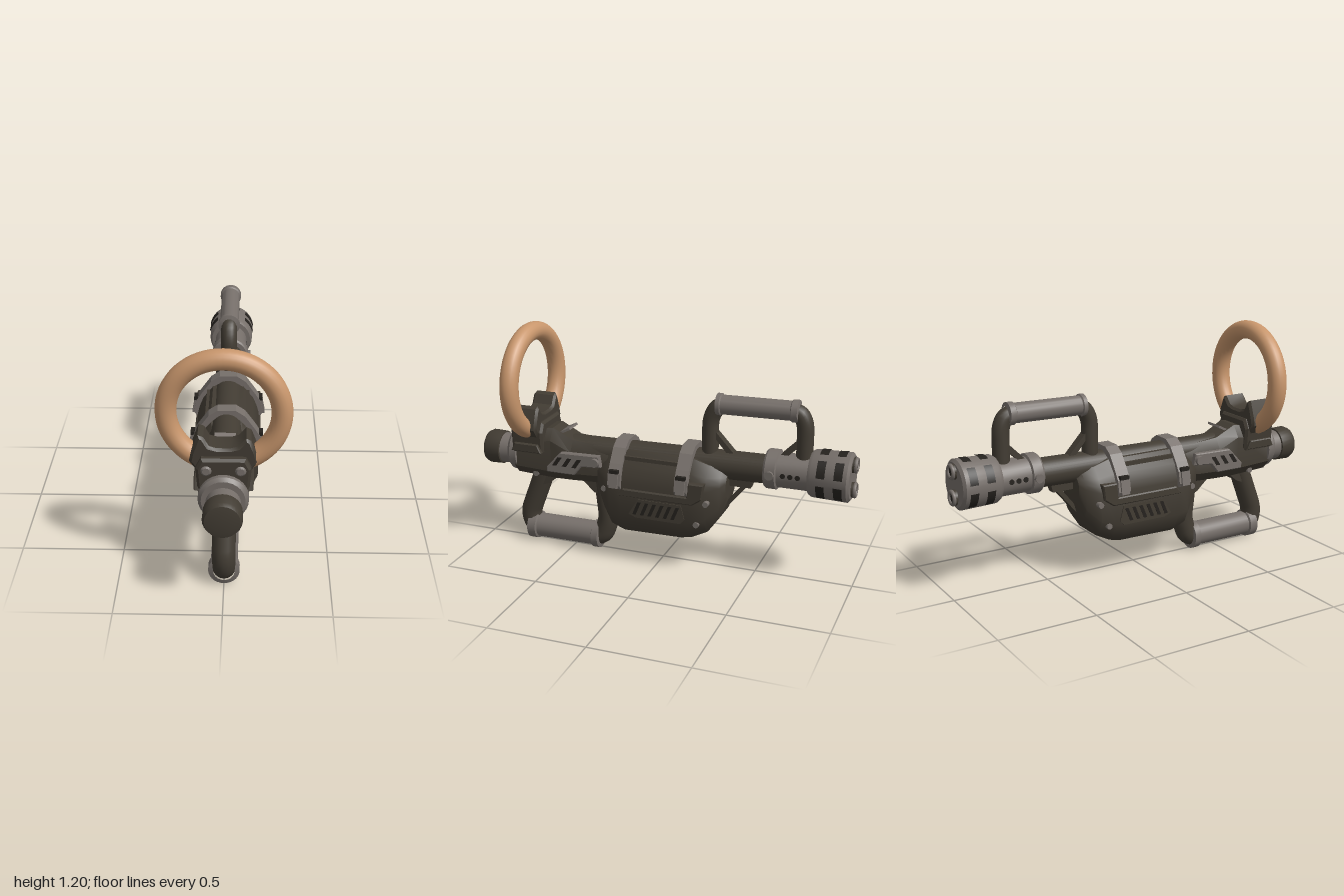
import * as THREE from 'three';
import { toCreasedNormals } from 'three/addons/utils/BufferGeometryUtils.js';

const paint = (name, color) => {
  const m = new THREE.MeshStandardMaterial({ color });
  m.name = name;
  return m;
};

export function createModel() {
  const root = new THREE.Group();
  root.name = 'launcher';
  const dark = paint('dark gunmetal', 0x423c33);
  const grey = paint('warm grey metal', 0x766f6a);
  const tan = paint('tan ring', 0xc8966c);
  const black = paint('slot black', 0x25221e);

  const add = (name, geo, mat, x = 0, y = 0, z = 0) => {
    const m = new THREE.Mesh(geo, mat);
    m.name = name;
    m.position.set(x, y, z);
    root.add(m);
    return m;
  };
  const crease = (g) => toCreasedNormals(g, 0.6);
  const v3 = (p) => new THREE.Vector3(...p);

  // Turned part around the z axis; points are [radius, z] with z rising
  const turned = (pts, seg = 28) =>
    crease(new THREE.LatheGeometry(pts.map((p) => new THREE.Vector2(...p)), seg).rotateX(Math.PI / 2));
  const shape = (pts) => new THREE.Shape(pts.map((p) => new THREE.Vector2(...p)));
  // Plate drawn in (z, y) and thickened along x
  const sidePlate = (pts, depth, bevel = 0) =>
    new THREE.ExtrudeGeometry(shape(pts.map(([z, y]) => [-z, y])), {
      depth, bevelEnabled: bevel > 0, bevelSize: bevel, bevelThickness: bevel, bevelSegments: 1, bevelOffset: -bevel,
    }).rotateY(Math.PI / 2);
  // Plate drawn in (x, y) and thickened along z
  const frontPlate = (pts, depth, bevel = 0) =>
    new THREE.ExtrudeGeometry(shape(pts), {
      depth, bevelEnabled: bevel > 0, bevelSize: bevel, bevelThickness: bevel, bevelSegments: 1, bevelOffset: -bevel,
    });
  const bothSides = (name, pts, mat, x, depth, bevel = 0) => {
    for (const s of [1, -1]) add(name, sidePlate(pts, depth, bevel), mat, s > 0 ? x : -x - depth);
  };
  const slant = (z, y, w, h, lean) => [
    [z - w - lean, y - h], [z + w - lean, y - h], [z + w + lean, y + h], [z - w + lean, y + h],
  ];
  const tube = (pts, r) => {
    const path = new THREE.CurvePath();
    // straight runs joined by short rounded corners
    const P = pts.map(v3);
    let from = P[0];
    for (let i = 1; i < P.length - 1; i++) {
      const a = P[i].clone().lerp(P[i - 1], Math.min(0.45, 0.045 / P[i].distanceTo(P[i - 1])));
      const b = P[i].clone().lerp(P[i + 1], Math.min(0.45, 0.045 / P[i].distanceTo(P[i + 1])));
      path.add(new THREE.LineCurve3(from, a));
      path.add(new THREE.QuadraticBezierCurve3(a, P[i], b));
      from = b;
    }
    path.add(new THREE.LineCurve3(from, P[P.length - 1]));
    return new THREE.TubeGeometry(path, 80, r, 16);
  };
  // Hull lofted along rising z from mirrored half sections (bottom to top)
  const loft = (stations) => {
    const pos = [], idx = [];
    const rings = stations.map(({ z, half }) =>
      [...half, ...half.slice().reverse().map(([x, y]) => [-x, y])].map(([x, y]) => [x, y, z]));
    const n = rings[0].length;
    rings.forEach((r) => r.forEach((p) => pos.push(...p)));
    for (let i = 0; i < rings.length - 1; i++) {
      for (let j = 0; j < n; j++) {
        const a = i * n + j, b = i * n + ((j + 1) % n);
        idx.push(a, b, b + n, a, b + n, a + n);
      }
    }
    const last = (rings.length - 1) * n;
    for (let j = 1; j < n - 1; j++) idx.push(0, j + 1, j, last, last + j, last + j + 1);
    const g = new THREE.BufferGeometry();
    g.setAttribute('position', new THREE.Float32BufferAttribute(pos, 3));
    g.setIndex(idx);
    return crease(g);
  };

  // Main barrel tube
  const barrel = add('barrel', turned([[0, -0.8], [0.073, -0.8], [0.073, 0.5], [0, 0.5]]), dark, 0, 0.557, 0);
  barrel.rotation.x = 0.018;

  // Receiver with wedge top behind the ring bracket
  const recv = (z, w, b, t) => ({
    z, half: [[w * 0.55, b], [w, b + 0.05], [w, t - 0.06], [w * 0.6, t]],
  });
  add('receiver', loft([
    recv(0.24, 0.085, 0.41, 0.59), recv(0.35, 0.09, 0.39, 0.6), recv(0.48, 0.092, 0.385, 0.61),
    recv(0.59, 0.1, 0.385, 0.665), recv(0.8, 0.1, 0.395, 0.63),
  ]), dark);
  add('wedgeTrim', new THREE.BoxGeometry(0.1, 0.012, 0.1), grey, 0, 0.643, 0.545).rotation.x = 0.46;

  // Rear ring, neck and cap
  add('rearRing', turned([[0.085, 0.785], [0.115, 0.79], [0.115, 0.825], [0.1, 0.842], [0.07, 0.842]]), grey, 0, 0.51, 0);
  add('rearNeck', turned([[0.08, 0.8], [0.08, 0.91]]), grey, 0, 0.5, 0);
  add('rearCap', turned([[0.07, 0.9], [0.088, 0.905], [0.09, 0.975], [0.08, 0.995], [0.055, 1], [0, 1]]), dark, 0, 0.5, 0);

  // Ring and its bracket
  const ring = add('ring', new THREE.TorusGeometry(0.257, 0.048, 20, 64), tan, 0, 0.895, 0.72);
  ring.rotation.set(0.02, -0.03, 0);
  add('bracketBase', frontPlate([
    [-0.115, 0.53], [0.115, 0.53], [0.125, 0.65], [0.1, 0.7], [-0.1, 0.7], [-0.125, 0.65],
  ], 0.155, 0.012), dark, 0, 0, 0.637);
  add('bracketHorns', crease(frontPlate([
    [-0.12, 0.62], [0.12, 0.62], [0.155, 0.67], [0.145, 0.715], [0.122, 0.775], [0.1, 0.785], [0.065, 0.745],
    [0.03, 0.735], [-0.03, 0.735], [-0.065, 0.745], [-0.09, 0.79], [-0.115, 0.8], [-0.145, 0.715], [-0.155, 0.67],
  ], 0.105, 0.012)), dark, 0, 0, 0.655);
  bothSides('bracketFoot', [[0.63, 0.54], [0.8, 0.54], [0.78, 0.585], [0.65, 0.585]], dark, 0.1, 0.03, 0.005);
  for (const s of [1, -1]) {
    add('bracketBolt', turned([[0.025, 0.77], [0.025, 0.805], [0.017, 0.812], [0, 0.812]], 12), grey, s * 0.077, 0.643, 0);
    add('receiverPin', new THREE.CylinderGeometry(0.016, 0.016, 0.02, 12).rotateZ(Math.PI / 2), grey, s * 0.07, 0.405, 0.69);
  }

  // Slotted cheek plates
  bothSides('cheekPlate', [
    [0.605, 0.44], [0.605, 0.47], [0.525, 0.555], [0.31, 0.56], [0.3, 0.5], [0.41, 0.49], [0.45, 0.44],
  ], grey, 0.092, 0.022, 0.005);
  for (let i = 0; i < 3; i++) {
    bothSides('cheekSlot', slant(0.545 - i * 0.055, 0.505, 0.012, 0.024, -0.016), black, 0.117, 0.004);
  }
  for (const s of [1, -1]) {
    add('cheekBolt', new THREE.CylinderGeometry(0.022, 0.024, 0.02, 14).rotateZ(-s * Math.PI / 2), grey, s * 0.124, 0.525, 0.33);
  }

  // Magazine hull
  const hull = (z, w, b, t) => ({
    z, half: [[w * 0.55, b], [w * 0.78, b + 0.025 * (t - b) / 0.4], [w, b + (t - b) * 0.24], [w, b + (t - b) * 0.66],
      [w * 0.93, b + (t - b) * 0.75], [w * 0.82, b + (t - b) * 0.85], [w * 0.5, t]],
  });
  add('magazine', loft([
    hull(-0.36, 0.085, 0.4, 0.54), hull(-0.335, 0.115, 0.31, 0.56), hull(-0.27, 0.15, 0.22, 0.575),
    hull(-0.19, 0.157, 0.18, 0.6), hull(-0.13, 0.158, 0.167, 0.6), hull(0.18, 0.158, 0.163, 0.6),
    hull(0.24, 0.155, 0.185, 0.58), hull(0.29, 0.128, 0.27, 0.55), hull(0.33, 0.09, 0.37, 0.52),
  ]), dark);
  bothSides('magazineRim', [
    [0.19, 0.385], [0.16, 0.425], [-0.18, 0.425], [-0.19, 0.5], [-0.27, 0.5], [-0.26, 0.42], [-0.21, 0.385],
  ], dark, 0.125, 0.038, 0.006);
  bothSides('ventPanel', [[0.13, 0.29], [0.09, 0.275], [-0.15, 0.275], [-0.17, 0.3], [-0.15, 0.375], [0.08, 0.375]], dark, 0.154, 0.008);
  for (let i = 0; i < 6; i++) {
    bothSides('ventSlot', slant(0.085 - i * 0.041, 0.327, 0.009, 0.034, -0.014), black, 0.16, 0.005);
  }
  for (const s of [1, -1]) {
    for (const [x, y, z] of [[0.153, 0.4, -0.28], [0.147, 0.28, -0.23], [0.128, 0.4, 0.275]]) {
      add('magazineScrew', new THREE.CylinderGeometry(0.015, 0.015, 0.03, 12).rotateZ(Math.PI / 2), grey, s * x, y, z);
    }
  }
  // Rails along the top of the magazine
  for (const s of [1, -1]) add('topRail', new THREE.BoxGeometry(0.03, 0.03, 0.4), dark, s * 0.095, 0.565, 0.02);

  // Straps with buckles
  const outer = [[0.045, 0.645], [0.09, 0.615], [0.14, 0.545], [0.168, 0.5], [0.18, 0.44], [0.168, 0.42]];
  const inner = [[0.145, 0.43], [0.135, 0.5], [0.11, 0.54], [0.07, 0.59], [0.03, 0.615]];
  const half = [...outer, ...inner];
  for (const [z, lift] of [[0.17, 0], [-0.187, 0.012]]) {
    const full = [...outer.slice().reverse(), ...outer.map(([x, y]) => [-x, y]),
      ...inner.map(([x, y]) => [-x, y]), ...inner.slice().reverse()];
    add('strap', frontPlate(full, 0.068), grey, 0, lift, z);
    for (const s of [1, -1]) {
      add('buckle', new THREE.BoxGeometry(0.02, 0.075, 0.045), grey, s * 0.174, 0.465 + lift, z + 0.034).rotation.z = s * 0.18;
      add('buckleSlot', new THREE.BoxGeometry(0.02, 0.018, 0.05), black, s * 0.169, 0.512 + lift, z + 0.034);
    }
  }

  // Lower handle with grey grip
  add('lowerHandle', tube([
    [0, 0.42, 0.665], [0, 0.34, 0.695], [0, 0.15, 0.768], [0, 0.07, 0.745], [0, 0.07, 0.34], [0, 0.18, 0.305], [0, 0.4, 0.33],
  ], 0.055), dark);
  add('lowerGrip', turned([
    [0.05, 0.345], [0.074, 0.35], [0.074, 0.385], [0.064, 0.39], [0.064, 0.71], [0.074, 0.715], [0.074, 0.76], [0.05, 0.768],
  ]), grey, 0, 0.076, 0);
  add('handleGusset', sidePlate([[0.73, 0.4], [0.7, 0.32], [0.63, 0.345], [0.58, 0.385], [0.43, 0.385], [0.37, 0.33], [0.28, 0.3], [0.28, 0.42]], 0.09), dark, -0.045);

  // Carry handle with grey grip and struts
  add('carryHandle', tube([
    [0, 0.57, -0.25], [0, 0.8, -0.25], [0, 0.872, -0.29], [0, 0.88, -0.7], [0, 0.82, -0.73], [0, 0.6, -0.73],
  ], 0.042), dark);
  add('carryGrip', turned([
    [0.035, -0.7], [0.056, -0.695], [0.056, -0.665], [0.049, -0.66], [0.049, -0.31], [0.056, -0.305], [0.056, -0.285], [0.035, -0.28],
  ]), grey, 0, 0.868, 0).rotation.x = 0.02;
  const strut = (pts) => add('strut', sidePlate(pts, 0.045), dark, -0.0225);
  strut([[-0.27, 0.75], [-0.27, 0.715], [-0.35, 0.62], [-0.39, 0.62]]);
  strut([[-0.71, 0.75], [-0.58, 0.62], [-0.615, 0.62], [-0.71, 0.71]]);
  strut([[-0.33, 0.32], [-0.345, 0.37], [-0.45, 0.5], [-0.48, 0.5]]);
  strut([[-0.34, 0.5], [-0.48, 0.5], [-0.47, 0.46], [-0.34, 0.46]]);

  // Collar behind the muzzle
  add('collar', turned([
    [0.07, -0.775], [0.088, -0.77], [0.088, -0.61], [0.1, -0.605], [0.1, -0.555], [0.092, -0.545], [0.07, -0.545],
  ]), grey, 0, 0.573, 0);
  for (const s of [1, -1]) {
    add('collarBolt', new THREE.CylinderGeometry(0.022, 0.022, 0.03, 12).rotateZ(Math.PI / 2), grey, s * 0.097, 0.573, -0.582);
    for (let i = 0; i < 3; i++) {
      add('collarHole', new THREE.CylinderGeometry(0.013, 0.013, 0.008, 12).rotateZ(Math.PI / 2), black, s * 0.087, 0.573, -0.645 - i * 0.037);
    }
  }

  // Muzzle brake with rows of slots and two stacked bores
  const brake = new THREE.Group();
  brake.name = 'muzzleBrake';
  brake.position.set(0, 0.578, 0);
  root.add(brake);
  const part = (name, geo, mat, x = 0, y = 0, z = 0) => brake.add(add(name, geo, mat, x, y, z));
  part('brakeBody', turned([[0, -0.965], [0.108, -0.972], [0.123, -0.96], [0.118, -0.785], [0.108, -0.768], [0.06, -0.765]], 32), grey);
  for (let i = 0; i < 6; i++) {
    for (const z of [-0.92, -0.835]) {
      // curved slot hugging the surface, centred on the top, sides and below
      const slot = new THREE.CylinderGeometry(0.1225, 0.125, 0.042, 8, 1, true, -0.36, 0.72).rotateX(Math.PI / 2);
      slot.rotateZ(Math.PI / 2 + Math.PI / 2 + (i * Math.PI) / 3);
      part('brakeSlot', slot, black, 0, 0, z);
    }
  }
  for (const y of [0.066, -0.062]) {
    part('bore', new THREE.TorusGeometry(0.03, 0.01, 10, 20), grey, 0, y, -0.985);
    part('boreTube', turned([[0.028, -0.995], [0.038, -0.99], [0.038, -0.95]], 18), dark, 0, y, 0);
    part('boreHole', new THREE.CircleGeometry(0.03, 18).rotateY(Math.PI), black, 0, y, -0.986);
  }
  return root;
}
